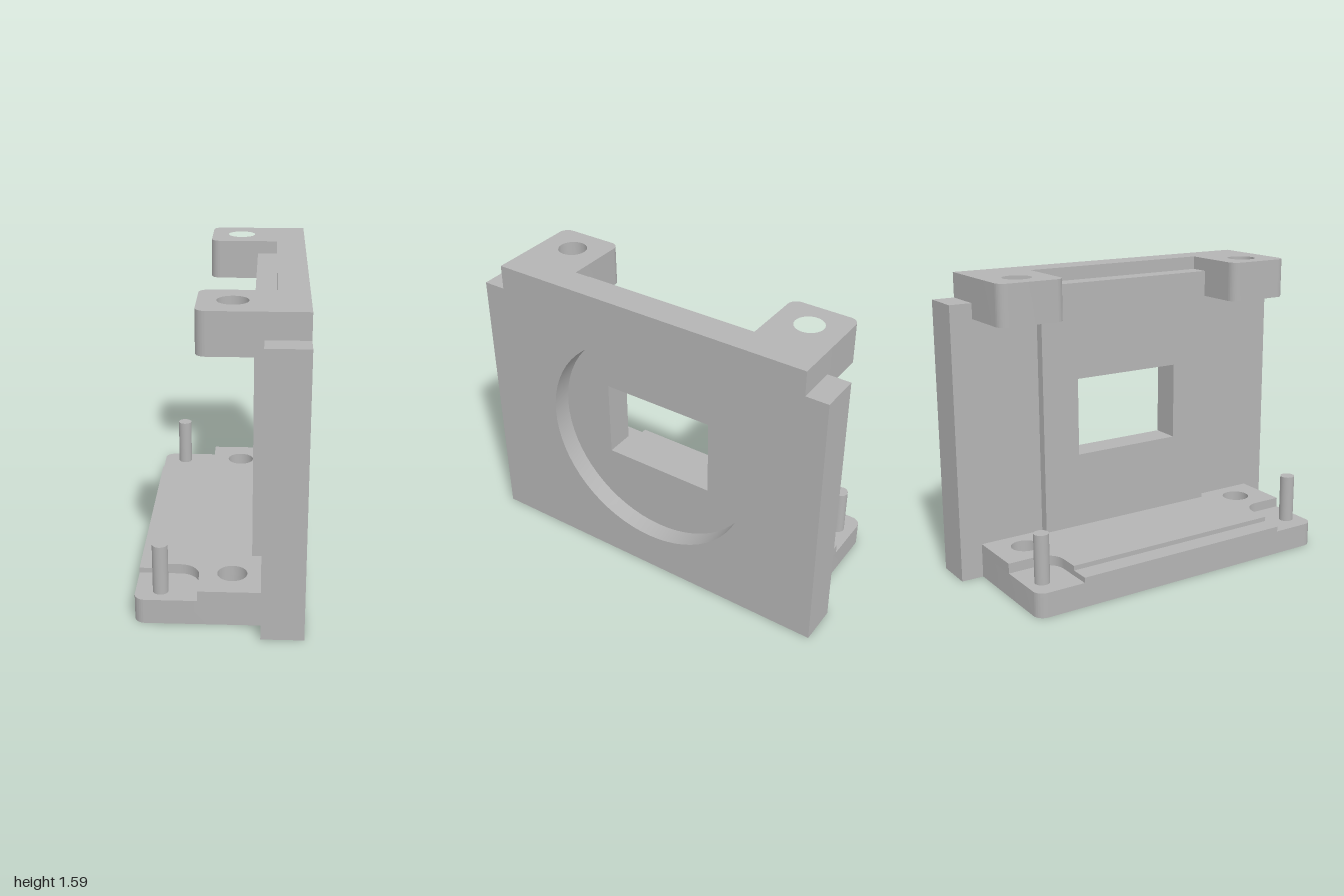
import * as THREE from 'three';
import { toCreasedNormals } from 'three/addons/utils/BufferGeometryUtils.js';

const HOLE = { x: 0.06, z: 0.7, r: 0.075 };
const PIN = { x: -0.29, z: 0.79, r: 0.045 };

// Closed outline from [a, b, radius] corners; right-angle corners may be rounded
function outline(points) {
  const shape = new THREE.Shape();
  const n = points.length;
  points.forEach(([a, b, r = 0], i) => {
    const p = new THREE.Vector2(a, b);
    const toward = (q, d) => p.clone().add(new THREE.Vector2(q[0] - a, q[1] - b).setLength(d));
    const prev = points[(i + n - 1) % n], next = points[(i + 1) % n];
    const start = r ? toward(prev, r) : p;
    if (i === 0) shape.moveTo(start.x, start.y);
    else shape.lineTo(start.x, start.y);
    if (r) {
      const end = toward(next, r);
      const c1 = start.clone().lerp(p, 0.5523), c2 = end.clone().lerp(p, 0.5523);
      shape.bezierCurveTo(c1.x, c1.y, c2.x, c2.y, end.x, end.y);
    }
  });
  shape.closePath();
  return shape;
}

function circle(a, b, r) {
  return new THREE.Path().absarc(a, b, r, 0, Math.PI * 2, true);
}

const mirrorZ = (half) => [...half, ...half.map(([a, b, r]) => [-a, b, r]).reverse()];
const mirrorPlan = (half) => [...half, ...half.map(([a, b, r]) => [a, -b, r]).reverse()];

export function createModel() {
  const group = new THREE.Group();
  const grey = new THREE.MeshStandardMaterial({ color: 0xb4b4b4 });
  grey.name = 'grey';

  function add(name, geometry) {
    const mesh = new THREE.Mesh(geometry, grey);
    mesh.name = name;
    group.add(mesh);
    return mesh;
  }
  function extrude(shape, depth) {
    return new THREE.ExtrudeGeometry(shape, { depth, bevelEnabled: false, curveSegments: 32 });
  }
  // Plan outline (x, -z) raised from y0 to y1
  function slab(name, shape, y0, y1) {
    const g = extrude(shape, y1 - y0).rotateX(-Math.PI / 2).translate(0, y0, 0);
    add(name, toCreasedNormals(g, 0.5));
  }
  // Upright outline (z, y) running from x0 to x1
  function wall(name, shape, x0, x1) {
    const g = extrude(shape, x1 - x0).rotateY(Math.PI / 2).translate(x0, 0, 0);
    add(name, toCreasedNormals(g, 0.5));
  }
  const window_ = () => new THREE.Path([[-0.31, 0.59], [-0.31, 1.01], [0.31, 1.01], [0.31, 0.59]]
    .map(([a, b]) => new THREE.Vector2(a, b))).closePath();

  // Upright plate in layers: notched inner layer, middle web, outer ring around the round recess
  const plateHalf = [[1, 0], [1, 1.46], [0.88, 1.46], [0.88, 1.59]];
  const inner = outline(mirrorZ([...plateHalf, [0.52, 1.59], [0.52, 1.52]]));
  const web = outline(mirrorZ(plateHalf));
  const ring = outline(mirrorZ(plateHalf));
  inner.holes.push(window_());
  web.holes.push(window_());
  ring.holes.push(circle(0, 0.8, 0.593));
  wall('plateInner', inner, 0.205, 0.26);
  wall('plateWeb', web, 0.26, 0.31);
  wall('plateRecessRing', ring, 0.31, 0.415);

  // Raised pad on the inner face
  const pad = outline(mirrorZ([[0.52, 0.18], [0.52, 1.52]]));
  pad.holes.push(window_());
  wall('innerPad', pad, 0.155, 0.205);

  // Base: full foot, raised deck with corner pockets, low ledge
  const foot = outline(mirrorPlan([[0.205, -0.88], [-0.415, -0.88, 0.055]]).reverse());
  const deck = outline(mirrorPlan([
    [0.205, -0.88], [-0.105, -0.88], [-0.105, -0.62, 0.1], [-0.31, -0.62],
  ]).reverse());
  for (const s of [1, -1]) {
    foot.holes.push(circle(HOLE.x, s * HOLE.z, HOLE.r));
    deck.holes.push(circle(HOLE.x, s * HOLE.z, HOLE.r));
  }
  slab('baseFoot', foot, 0, 0.13);
  slab('baseDeck', deck, 0.13, 0.183);
  slab('baseLedge', outline([[-0.415, -0.62], [-0.31, -0.62], [-0.31, 0.62], [-0.415, 0.62]]), 0.13, 0.158);

  // Upper ears with screw holes, and locating pins
  for (const s of [1, -1]) {
    const side = s > 0 ? 'Left' : 'Right';
    const ear = outline([
      [0.205, s * 0.52], [-0.105, s * 0.52, 0.05], [-0.105, s * 0.88, 0.05], [0.205, s * 0.88],
    ]);
    ear.holes.push(circle(HOLE.x, s * HOLE.z, HOLE.r));
    slab('ear' + side, ear, 1.38, 1.59);

    const pin = add('pin' + side, new THREE.CylinderGeometry(PIN.r - 0.006, PIN.r - 0.006, 0.26, 32));
    pin.position.set(PIN.x, 0.26, s * PIN.z);
  }
  return group;
}
